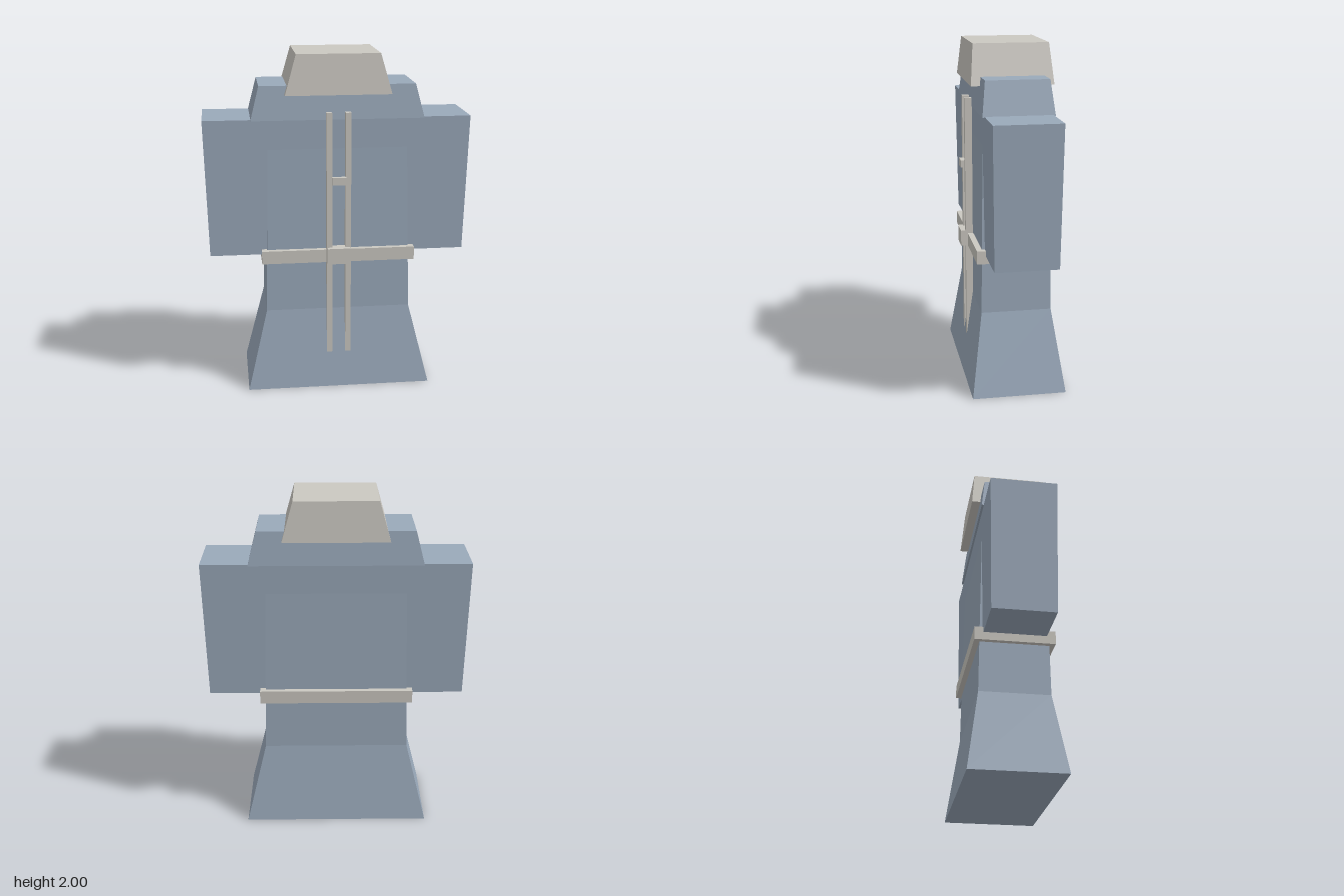
import * as THREE from 'three';

const cloth = new THREE.MeshStandardMaterial({ name: 'blue cloth', color: 0x9aa9ba });
const trim = new THREE.MeshStandardMaterial({ name: 'pale trim', color: 0xcbc8c1 });

// Box between y0 and y1 whose half sizes [x, z] differ at bottom and top
function taperedBox(name, material, y0, y1, bottom, top) {
  const geometry = new THREE.BoxGeometry(2, y1 - y0, 2);
  geometry.translate(0, (y0 + y1) / 2, 0);
  const p = geometry.attributes.position;
  const middle = (y0 + y1) / 2;
  for (let i = 0; i < p.count; i++) {
    const [hx, hz] = p.getY(i) > middle ? top : bottom;
    p.setX(i, p.getX(i) * hx);
    p.setZ(i, p.getZ(i) * hz);
  }
  geometry.computeVertexNormals();
  const mesh = new THREE.Mesh(geometry, material);
  mesh.name = name;
  return mesh;
}

// Straight box given by its extents
function block(name, material, x0, x1, y0, y1, z0, z1) {
  const mesh = new THREE.Mesh(new THREE.BoxGeometry(x1 - x0, y1 - y0, z1 - z0), material);
  mesh.position.set((x0 + x1) / 2, (y0 + y1) / 2, (z0 + z1) / 2);
  mesh.name = name;
  return mesh;
}

export function createModel() {
  const model = new THREE.Group();
  model.name = 'robe';

  // Robe body
  model.add(
    taperedBox('skirt', cloth, 0, 0.48, [0.545, 0.273], [0.427, 0.203]),
    taperedBox('torso', cloth, 0.48, 1.63, [0.427, 0.203], [0.4, 0.186]),
    taperedBox('sleeves', cloth, 0.826, 1.63, [0.75, 0.18], [0.773, 0.191]),
    taperedBox('shoulders', cloth, 1.625, 1.82, [0.5, 0.203], [0.45, 0.181]),
  );

  // Collar and belt
  model.add(
    taperedBox('collar', trim, 1.77, 2, [0.305, 0.237], [0.24, 0.217]),
    block('belt', trim, -0.45, 0.45, 0.78, 0.857, -0.23, 0.23),
    block('beltKnot', trim, -0.067, 0.067, 0.778, 0.872, 0.2, 0.27),
  );

  // Two hanging bands joined by a clasp
  for (const [side, name] of [[1, 'leftBand'], [-1, 'rightBand']]) {
    const band = block(name, trim, 0.039, 0.071, 0.2, 1.67, 0.2, 0.242);
    band.position.x *= side;
    model.add(band);
  }
  model.add(block('clasp', trim, -0.041, 0.041, 1.253, 1.297, 0.235, 0.264));

  return model;
}
